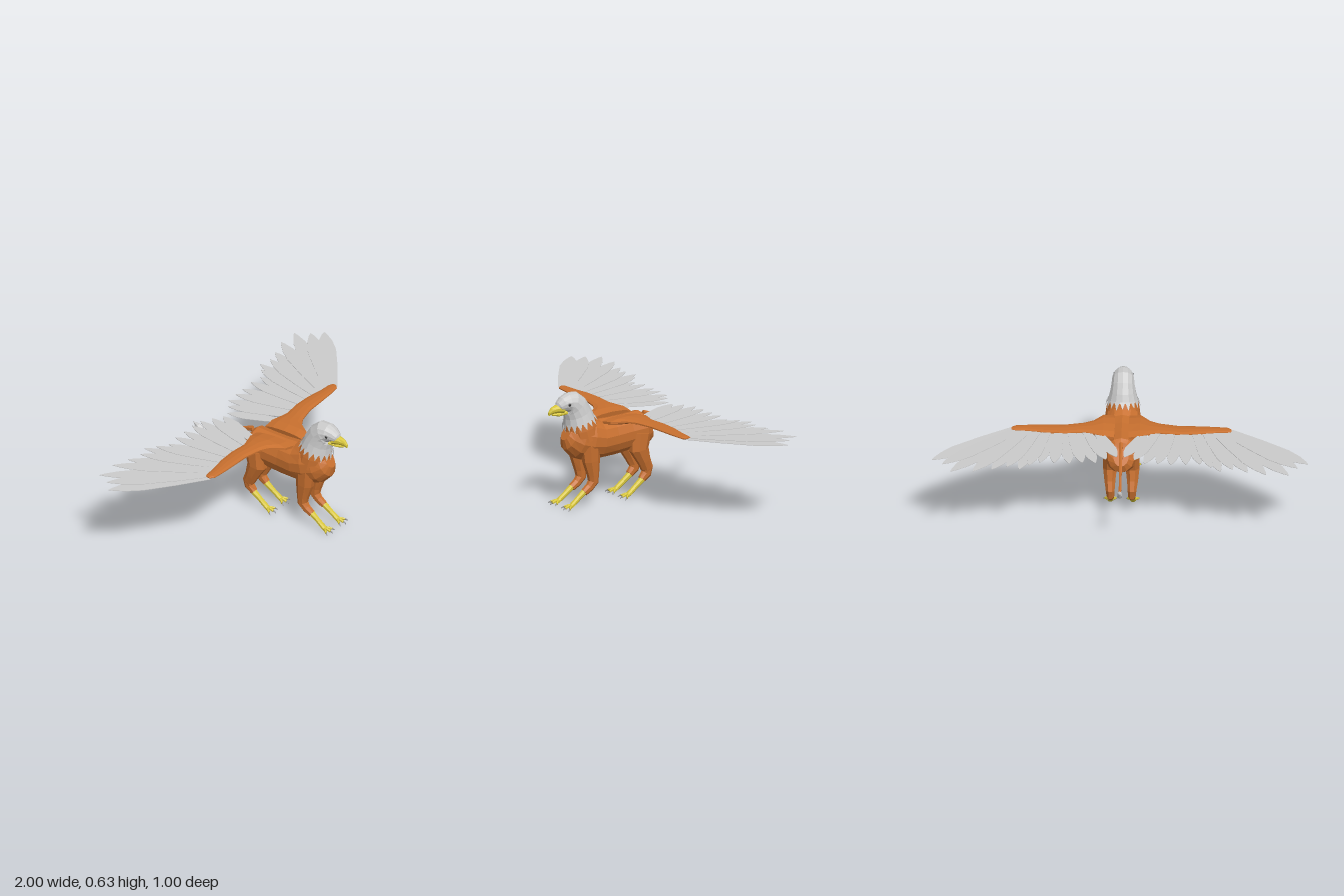
import * as THREE from 'three';

const mat = (name, color) => Object.assign(new THREE.MeshStandardMaterial({ color }), { name });

// Faceted skin over elliptical rings. Row: [x, y, z, half width, half depth]; path lies mostly in the yz plane.
function loft(rows, sides = 10) {
  const rings = rows.map(([x, y, z, a, b], i) => {
    const p = rows[Math.max(i - 1, 0)], q = rows[Math.min(i + 1, rows.length - 1)];
    const dy = q[1] - p[1], dz = q[2] - p[2], l = Math.hypot(dy, dz) || 1;
    return Array.from({ length: sides }, (_, j) => {
      const t = (j + 0.5) / sides * Math.PI * 2, c = Math.cos(t) * a, s = Math.sin(t) * b;
      return [x + c, y + s * dz / l, z - s * dy / l];
    });
  });
  const pos = [], tri = (...v) => v.forEach(p => pos.push(...p));
  const first = rows[0].slice(0, 3), last = rows[rows.length - 1].slice(0, 3);
  for (let j = 0; j < sides; j++) {
    const k = (j + 1) % sides;
    for (let i = 0; i < rings.length - 1; i++) {
      const A = rings[i], B = rings[i + 1];
      tri(A[j], A[k], B[k]);
      tri(A[j], B[k], B[j]);
    }
    tri(first, rings[0][k], rings[0][j]);
    tri(last, rings[rings.length - 1][j], rings[rings.length - 1][k]);
  }
  return facet(pos);
}

function facet(pos) {
  const g = new THREE.BufferGeometry();
  g.setAttribute('position', new THREE.Float32BufferAttribute(pos, 3));
  g.computeVertexNormals();
  return g;
}

// Copy reflected in x, with the corner order reversed
function mirrored(geo) {
  const p = (geo.index ? geo.toNonIndexed() : geo).attributes.position, pos = [];
  for (let i = 0; i < p.count; i += 3)
    for (const k of [i, i + 2, i + 1]) pos.push(-p.getX(k), p.getY(k), p.getZ(k));
  return facet(pos);
}

export function createModel() {
  const root = new THREE.Group();
  root.name = 'griffin';
  const fur = mat('brown fur', 0xc8702f), white = mat('pale plumage', 0xcbcbcb);
  const yellow = mat('yellow skin', 0xd8c63a), claw = mat('grey claw', 0x9a9a9a), dark = mat('dark pupil', 0x333333);
  const plume = mat('pale collar', 0xcbcbcb);
  plume.side = THREE.DoubleSide;

  const add = (name, geo, m) => {
    const mesh = new THREE.Mesh(geo, m);
    mesh.name = name;
    root.add(mesh);
  };
  const pair = (name, geo, m) => {
    add('left ' + name, geo, m);
    add('right ' + name, mirrored(geo), m);
  };

  // Trunk from rump to chest, and the base of the neck
  add('body', loft([
    [0, 0.37, -0.138, 0.04, 0.05], [0, 0.362, -0.125, 0.07, 0.082], [0, 0.355, -0.09, 0.09, 0.1],
    [0, 0.35, 0, 0.085, 0.1], [0, 0.344, 0.1, 0.088, 0.104], [0, 0.345, 0.19, 0.1, 0.106],
    [0, 0.36, 0.26, 0.102, 0.12], [0, 0.375, 0.32, 0.09, 0.112], [0, 0.395, 0.365, 0.065, 0.085],
    [0, 0.41, 0.387, 0.035, 0.045]], 14), fur);
  add('neck', loft([[0, 0.37, 0.28, 0.098, 0.1], [0, 0.43, 0.295, 0.09, 0.092],
    [0, 0.49, 0.308, 0.075, 0.08]], 14), fur);

  // Head, with a ragged collar of feather points
  add('head', loft([
    [0, 0.47, 0.306, 0.083, 0.087], [0, 0.51, 0.316, 0.071, 0.079], [0, 0.55, 0.335, 0.063, 0.072],
    [0, 0.572, 0.358, 0.059, 0.066], [0, 0.577, 0.382, 0.053, 0.052], [0, 0.572, 0.41, 0.042, 0.042],
    [0, 0.562, 0.435, 0.03, 0.028], [0, 0.557, 0.447, 0.014, 0.014]], 14), white);
  const collar = [];
  const onNeck = (t, r, drop) => [
    Math.cos(t) * 0.083 * r,
    0.472 + Math.sin(t) * 0.022 * r - drop * 0.96,
    0.307 - Math.sin(t) * 0.085 * r - drop * 0.28];
  const points = 18, step = Math.PI * 2 / points;
  for (let i = 0; i < points; i++) {
    const t = i * step;
    collar.push(...onNeck(t, 1.02, -0.006), ...onNeck(t + step / 2, 1.15, 0.03 + 0.008 * (i % 2)),
      ...onNeck(t + step, 1.02, -0.006));
  }
  add('collar feathers', facet(collar), plume);

  // Hooked beak and eyes
  add('upper beak', loft([[0, 0.55, 0.415, 0.034, 0.028], [0, 0.552, 0.45, 0.024, 0.023],
    [0, 0.547, 0.478, 0.015, 0.019], [0, 0.535, 0.495, 0.008, 0.01], [0, 0.522, 0.499, 0.003, 0.004]]), yellow);
  add('lower beak', loft([[0, 0.528, 0.395, 0.03, 0.014], [0, 0.521, 0.44, 0.019, 0.011],
    [0, 0.524, 0.478, 0.006, 0.005]]), yellow);
  const ball = (r, x, y, z) => new THREE.SphereGeometry(r, 10, 8).scale(0.5, 1, 1).translate(x, y, z);
  pair('eye', ball(0.011, 0.046, 0.577, 0.396), claw);
  pair('pupil', ball(0.006, 0.0505, 0.577, 0.398), dark);

  // Legs: furry upper part, then the same bird foot front and back
  pair('front leg', loft([
    [0.055, 0.34, 0.27, 0.044, 0.062], [0.058, 0.25, 0.266, 0.037, 0.052], [0.058, 0.17, 0.254, 0.029, 0.035],
    [0.057, 0.13, 0.253, 0.026, 0.031], [0.057, 0.103, 0.277, 0.022, 0.025], [0.057, 0.08, 0.312, 0.02, 0.021]], 8), fur);
  pair('hind leg', loft([
    [0.055, 0.35, -0.055, 0.045, 0.068], [0.06, 0.26, -0.042, 0.04, 0.057], [0.06, 0.19, -0.075, 0.031, 0.039],
    [0.058, 0.145, -0.096, 0.025, 0.036], [0.057, 0.118, -0.092, 0.022, 0.031], [0.057, 0.09, -0.062, 0.02, 0.022]], 8), fur);
  for (const [end, dz] of [['front', 0], ['hind', -0.37]]) {
    pair(end + ' shin', loft([[0.057, 0.092, 0.3 + dz, 0.019, 0.018], [0.058, 0.055, 0.348 + dz, 0.014, 0.015],
      [0.06, 0.028, 0.385 + dz, 0.016, 0.014], [0.06, 0.015, 0.405 + dz, 0.018, 0.01]], 8), yellow);
    for (const a of [-0.65, 0, 0.65]) {
      const at = (d, y, w, h) => [0.06 + Math.sin(a) * d, y, 0.39 + dz + Math.cos(a) * d, w, h];
      pair(end + ' toe', loft([at(0, 0.02, 0.009, 0.011), at(0.022, 0.021, 0.009, 0.008),
        at(0.044, 0.013, 0.007, 0.007)], 6), yellow);
      pair(end + ' claw', loft([at(0.04, 0.015, 0.005, 0.005), at(0.052, 0.012, 0.004, 0.004),
        at(0.061, 0.004, 0.001, 0.001)], 5), claw);
    }
  }

  // Tail and its tuft
  add('tail', loft([[0, 0.435, -0.11, 0.012, 0.016], [0, 0.418, -0.165, 0.01, 0.013], [0, 0.365, -0.24, 0.009, 0.011],
    [0, 0.305, -0.325, 0.008, 0.01], [0, 0.285, -0.39, 0.008, 0.008], [0, 0.297, -0.43, 0.007, 0.007]], 6), fur);
  add('tail tuft', loft([[0, 0.292, -0.418, 0.006, 0.007], [0, 0.314, -0.448, 0.017, 0.02],
    [0, 0.327, -0.468, 0.015, 0.019], [0, 0.347, -0.498, 0.001, 0.001]], 6), white);

  // Wing arm. Row: [x, middle z, y, half length in z, half thickness]
  const arm = [[0.04, 0.06, 0.44, 0.125, 0.022], [0.1, 0.055, 0.45, 0.12, 0.019], [0.15, 0.03, 0.455, 0.075, 0.014],
    [0.2, 0.022, 0.456, 0.054, 0.012], [0.3, 0.005, 0.456, 0.048, 0.011], [0.4, 0.006, 0.457, 0.044, 0.01],
    [0.5, 0.012, 0.457, 0.033, 0.009], [0.565, 0.011, 0.457, 0.027, 0.008], [0.585, 0.006, 0.457, 0.014, 0.005]];
  pair('wing arm', loft(arm.map(([x, z, y, a, b]) => [-z, y, x, a, b])).rotateY(Math.PI / 2), fur);

  // Flight feathers fan out from the arm; each pair is a tip in x, z from the inside out
  const tips = [[0.02, -0.29], [0.075, -0.325], [0.13, -0.36], [0.2, -0.365], [0.27, -0.37], [0.35, -0.37],
    [0.425, -0.36], [0.485, -0.4], [0.535, -0.44], [0.6, -0.42], [0.68, -0.445], [0.78, -0.475],
    [0.9, -0.475], [0.945, -0.4], [1, -0.35]];
  tips.forEach(([tx, tz], i) => {
    const u = i / (tips.length - 1), x = 0.13 + 0.44 * u ** 0.75, z = -0.012 + 0.014 * u;
    const dx = tx - x, dz = tz - z, L = Math.hypot(dx, dz), w = 0.034 + 0.016 * Math.max(0, u * 2 - 1);
    const side = [[0.6, 0], [0.9, 0.35], [1, 0.68], [0.72, 0.84], [0.3, 0.95]];
    const outline = [...side, [0, 1], ...side.map(([a, b]) => [-a, b]).reverse()];
    const shape = new THREE.Shape(outline.map(([a, b]) => new THREE.Vector2(a * w, b * L)));
    const g = new THREE.ExtrudeGeometry(shape, { depth: 0.0025, bevelEnabled: false });
    g.rotateX(-Math.PI / 2 + 0.012).rotateY(Math.atan2(-dx, -dz)).translate(x, 0.452 + 0.003 * (i % 2), z);
    pair('flight feather', g, white);
  });

  return root;
}
